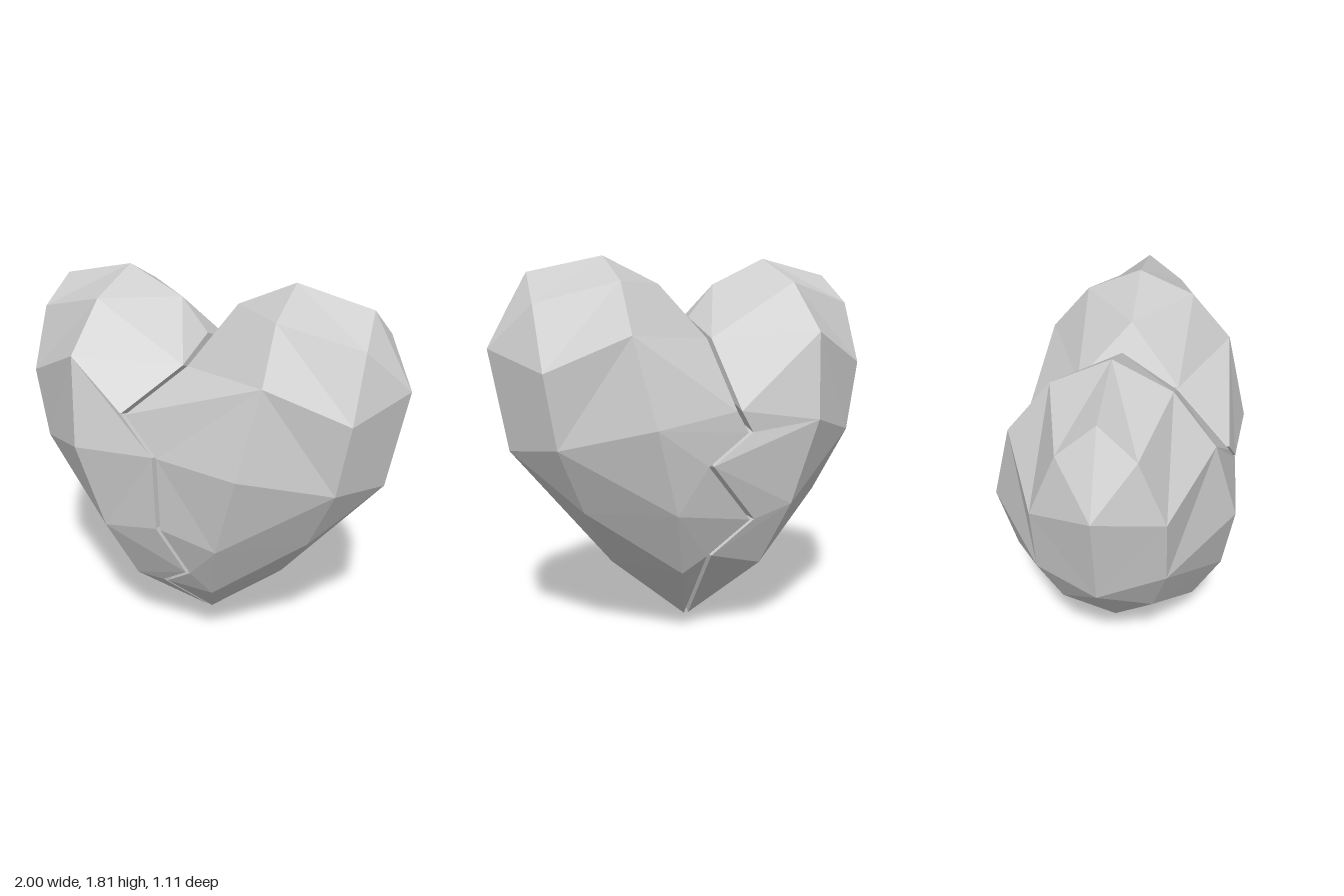
import * as THREE from 'three';

// Half-heart control points for the +x side, front quarter (mirrored for the rest).
const VALLEY = [0.15, 1.68, 0];
const CREST = [0.44, 1.81, 0];
const INNER = [[0.46, 1.69, 0.26], [0.49, 1.455, 0.45], [0.42, 1.05, 0.555], [0.3, 0.65, 0.505], [0.21, 0.34, 0.37]];
const OUTER = [[0.84, 1.59, 0.165], [0.84, 1.29, 0.285], [0.78, 0.95, 0.285], [0.63, 0.64, 0.21]];
const RIM = [[0.81, 1.73, 0], [1, 1.39, 0], [0.91, 0.92, 0], [0.41, 0.33, 0]];

// Jagged crack, in model coordinates, shared by both halves.
const CRACK_FRONT = [[0, 1.425, 0.24], [-0.18, 1.24, 0.5], [0, 1.07, 0.53], [0, 0.7, 0.51],
  [0.115, 0.46, 0.435], [-0.05, 0.34, 0.37], [0, 0, 0]];
const CRACK_BACK = [[0, 1.425, -0.24], [0, 1.11, -0.53], [-0.06, 1.01, -0.53], [0.15, 0.87, -0.54],
  [-0.1, 0.59, -0.48], [0.09, 0.42, -0.41], [0, 0, 0]];
const GAP = 0.012;

function heartHalf(side) {
  const positions = [];

  const same = (p, q) => p.every((v, i) => v === q[i]);
  const tri = (p, q, r, flip) => {
    if (same(p, q) || same(q, r) || same(p, r)) return;
    positions.push(...p, ...(flip ? r : q), ...(flip ? q : r));
  };
  // Joins two downward chains; each letter says which chain steps next.
  const zip = (a, b, steps, flip) => {
    let i = 0, j = 0;
    for (const step of steps) {
      if (step === 'a') tri(a[i], a[++i], b[j], flip);
      else tri(a[i], b[j + 1], b[j++], flip);
    }
  };

  const shift = ([x, y, z]) => [x + side * GAP, y, z];
  const front = CRACK_FRONT.map(shift);
  const back = CRACK_BACK.map(shift);
  const tip = front[6];

  // Faceted outer skin, front then back
  for (const face of [1, -1]) {
    const place = ([x, y, z]) => [side * x, y, face * z + 0];
    const flip = side * face < 0;
    const rim = RIM.map(place);
    const inner = [CREST, ...INNER].map(place);
    const outer = [rim[0], ...OUTER.map(place), rim[3]];
    const seam = [place(VALLEY), ...(face > 0 ? front : back)];
    zip(seam, inner, face > 0 ? 'babaabbaabaa' : 'bababaabaaba', flip);
    zip(inner, outer, 'bababaabab', flip);
    zip(outer, rim, 'ababaab', flip);
    tri(inner[5], tip, rim[3], flip);
  }

  // Notch at the top and the broken wall facing the other half
  const flip = side < 0;
  const valley = [side * VALLEY[0], VALLEY[1], 0];
  const notch = [side * GAP, side < 0 ? 1.52 : 1.425, 0];
  tri(valley, notch, front[0], flip);
  tri(valley, back[0], notch, flip);
  tri(notch, back[0], front[0], flip);
  zip(back, front, 'ab'.repeat(6), flip);

  const geometry = new THREE.BufferGeometry();
  geometry.setAttribute('position', new THREE.Float32BufferAttribute(positions, 3));
  geometry.computeVertexNormals();
  return geometry;
}

export function createModel() {
  const group = new THREE.Group();
  group.name = 'brokenHeart';
  const material = new THREE.MeshStandardMaterial({ color: 0xcccccc, flatShading: true });
  for (const [name, side] of [['leftHalf', 1], ['rightHalf', -1]]) {
    const half = new THREE.Mesh(heartHalf(side), material);
    half.name = name;
    group.add(half);
  }
  return group;
}
